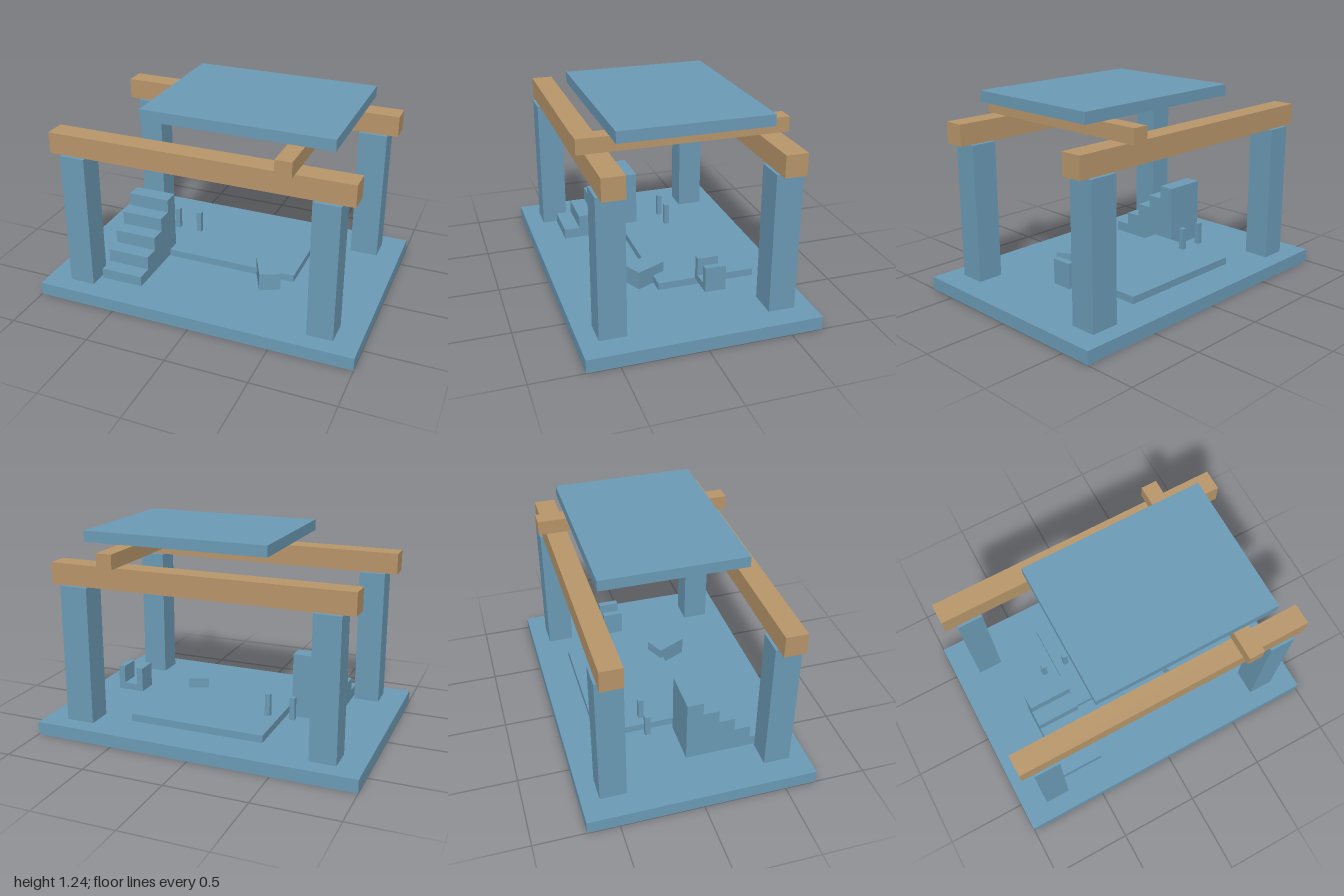
import * as THREE from 'three';

const stone = new THREE.MeshStandardMaterial({ color: 0x6b9ab5 });
stone.name = 'blue stone';
const timber = new THREE.MeshStandardMaterial({ color: 0xb8966a });
timber.name = 'tan timber';

// Box given by its minimum and maximum on each axis
function block(name, material, [x0, x1], [y0, y1], [z0, z1]) {
  const mesh = new THREE.Mesh(new THREE.BoxGeometry(x1 - x0, y1 - y0, z1 - z0), material);
  mesh.position.set((x0 + x1) / 2, (y0 + y1) / 2, (z0 + z1) / 2);
  mesh.name = name;
  return mesh;
}

// Staircase: one stepped side profile, extruded across its width
function staircase() {
  const base = 0.08, front = 0.49, tread = 0.1, count = 5;
  const shape = new THREE.Shape();
  shape.moveTo(front, base);
  for (let i = 0; i < count; i++) {
    const top = 0.145 + i * 0.085;
    shape.lineTo(front - i * tread, top);
    shape.lineTo(front - (i + 1) * tread, top);
  }
  shape.lineTo(front - count * tread, base);
  const geometry = new THREE.ExtrudeGeometry(shape, { depth: 0.27, bevelEnabled: false });
  geometry.rotateY(-Math.PI / 2); // profile x becomes z, depth runs to -x
  geometry.translate(-0.405, 0, 0);
  const mesh = new THREE.Mesh(geometry, stone);
  mesh.name = 'staircase';
  return mesh;
}

// U-shaped seat: a slab with two upright arms
function seat() {
  const group = new THREE.Group();
  group.name = 'seat';
  const z = [-0.215, -0.09];
  group.add(
    block('seatBase', stone, [0.53, 0.695], [0.178, 0.22], z),
    block('seatArm', stone, [0.53, 0.57], [0.22, 0.33], z),
    block('seatArm', stone, [0.655, 0.695], [0.22, 0.33], z),
  );
  return group;
}

export function createModel() {
  const model = new THREE.Group();
  model.name = 'pavilion';

  model.add(block('floor', stone, [-1, 1], [0, 0.08], [-0.69, 0.69]));

  // Columns, the one at back +x being a little wider
  for (const sx of [-1, 1]) {
    for (const sz of [-1, 1]) {
      const half = sx > 0 && sz < 0 ? 0.0875 : 0.079;
      const x = sx * 0.769, z = sz * 0.5;
      model.add(block('column', stone, [x - half, x + half], [0.08, 0.927], [z - 0.08, z + 0.08]));
    }
  }

  // Timber frame and roof slab
  for (const z of [-0.5, 0.5]) {
    model.add(block('longBeam', timber, [-0.92, 0.92], [0.93, 1.06], [z - 0.065, z + 0.065]));
  }
  model.add(block('crossBeam', timber, [0.486, 0.584], [1.06, 1.15], [-0.613, 0.613]));
  model.add(block('roofSlab', stone, [-0.385, 0.765], [1.17, 1.237], [-0.442, 0.442]));

  // Low platform and two small posts
  model.add(block('platform', stone, [-0.385, 0.46], [0.097, 0.142], [-0.49, 0.115]));
  for (const x of [-0.467, -0.311]) {
    model.add(block('post', stone, [x - 0.016, x + 0.016], [0.14, 0.28], [-0.208, -0.176]));
  }

  model.add(staircase(), seat());

  // Loose block, turned on the floor
  const loose = block('looseBlock', stone, [-0.065, 0.065], [0.093, 0.205], [-0.1, 0.1]);
  loose.position.x = 0.308;
  loose.position.z = 0.157;
  loose.rotation.y = 0.44;
  model.add(loose);

  return model;
}
